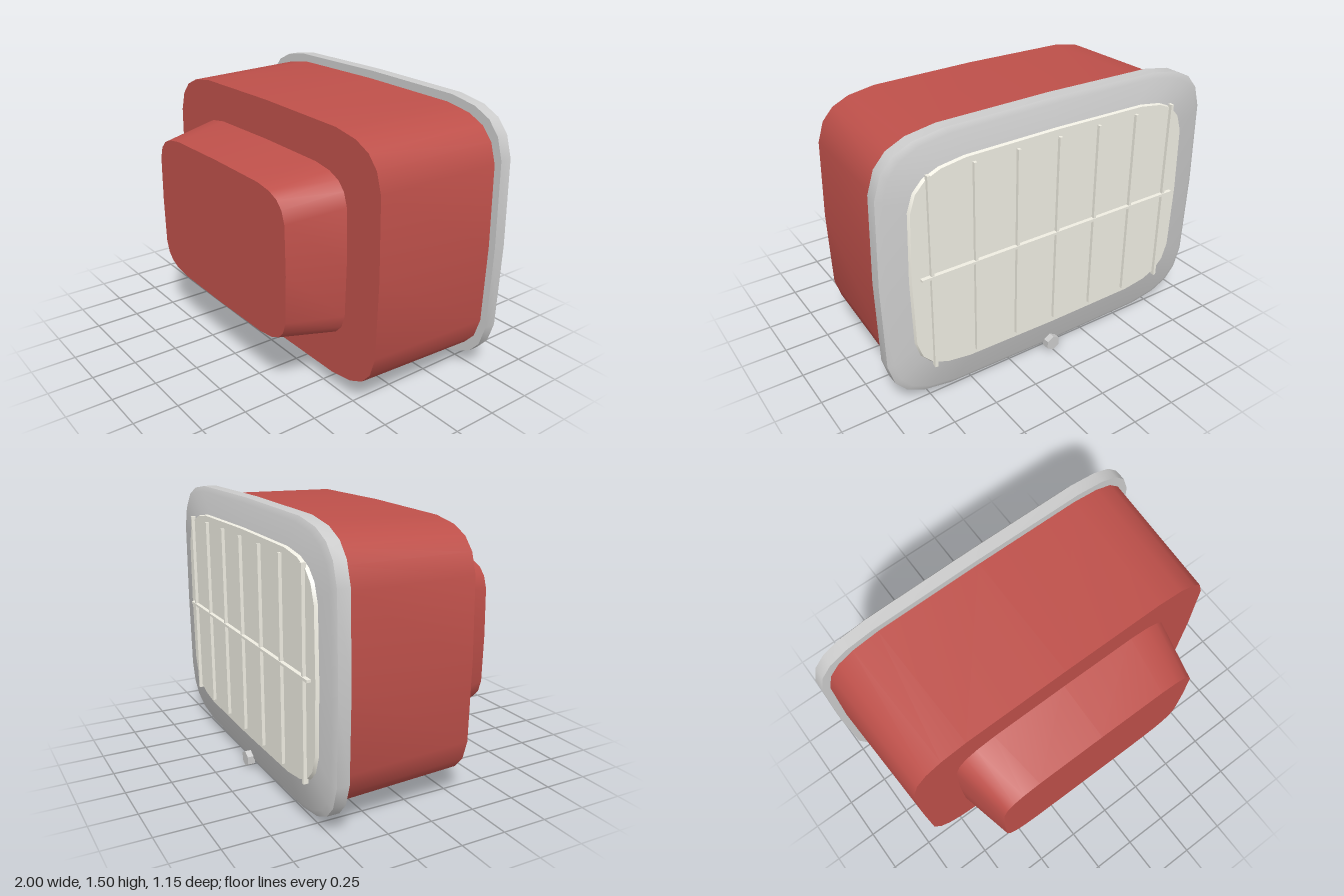
import * as THREE from 'three';
import { toCreasedNormals } from 'three/addons/utils/BufferGeometryUtils.js';

const CY = 0.765; // height of the main axis
const SIDES = 24;

const grey = new THREE.MeshStandardMaterial({ color: 0xcccccc });
const red = new THREE.MeshStandardMaterial({ color: 0xbe504a });
const ivory = new THREE.MeshStandardMaterial({ color: 0xefede2 });

// Point on a softly bowed rounded rectangle (superellipse)
function ringPoint(j, hw, hh, z) {
  const t = (j / SIDES) * Math.PI * 2;
  const f = (v) => (Math.abs(v) < 1e-6 ? 0 : Math.sign(v) * Math.abs(v) ** 0.34);
  return [f(Math.cos(t)) * hw, CY + f(Math.sin(t)) * hh, z];
}

// Closed solid through rings [z, halfWidth, halfHeight], ordered from back to front
function loft(rings) {
  const pos = [];
  const P = (i, j) => ringPoint(j % SIDES, rings[i][1], rings[i][2], rings[i][0]);
  const last = rings.length - 1;
  for (let j = 0; j < SIDES; j++) {
    for (let i = 0; i < last; i++) {
      const a = P(i, j), b = P(i, j + 1), c = P(i + 1, j + 1), d = P(i + 1, j);
      pos.push(...a, ...b, ...c, ...a, ...c, ...d);
    }
    pos.push(0, CY, rings[0][0], ...P(0, j + 1), ...P(0, j));
    pos.push(0, CY, rings[last][0], ...P(last, j), ...P(last, j + 1));
  }
  const g = new THREE.BufferGeometry();
  g.setAttribute('position', new THREE.Float32BufferAttribute(pos, 3));
  return toCreasedNormals(g, 0.7);
}

export function createModel() {
  const group = new THREE.Group();
  const add = (name, geometry, material, x = 0, y = 0, z = 0) => {
    const mesh = new THREE.Mesh(geometry, material);
    mesh.name = name;
    mesh.position.set(x, y, z);
    group.add(mesh);
    return mesh;
  };

  // Tapered housing and the smaller raised block on its front
  add('housing', loft([[-0.46, 0.96, 0.692], [0.26, 0.93, 0.678]]), red);
  add('frontBlock', loft([[0.25, 0.692, 0.467], [0.575, 0.62, 0.412]]), red);

  // Rim with a bevelled back edge
  add('rim', loft([[-0.538, 0.97, 0.71], [-0.522, 1, 0.737], [-0.455, 1, 0.737]]), grey);

  // Pale panel set on the back
  add('backPanel', loft([[-0.555, 0.845, 0.578], [-0.53, 0.855, 0.585]]), ivory);

  // Thin grille bars
  for (let i = -3; i <= 3; i++) {
    add('verticalBar', new THREE.BoxGeometry(0.016, 1.08, 0.025), ivory, i * 0.247, CY, -0.5605);
  }
  add('horizontalBar', new THREE.BoxGeometry(1.6, 0.014, 0.027), ivory, 0, CY, -0.5635);

  // Six-sided latch at the bottom of the rim
  const latch = new THREE.CylinderGeometry(0.044, 0.044, 0.042, 6).toNonIndexed();
  latch.rotateX(Math.PI / 2);
  latch.computeVertexNormals();
  add('latch', latch, grey, 0, 0.044, -0.551);

  return group;
}
